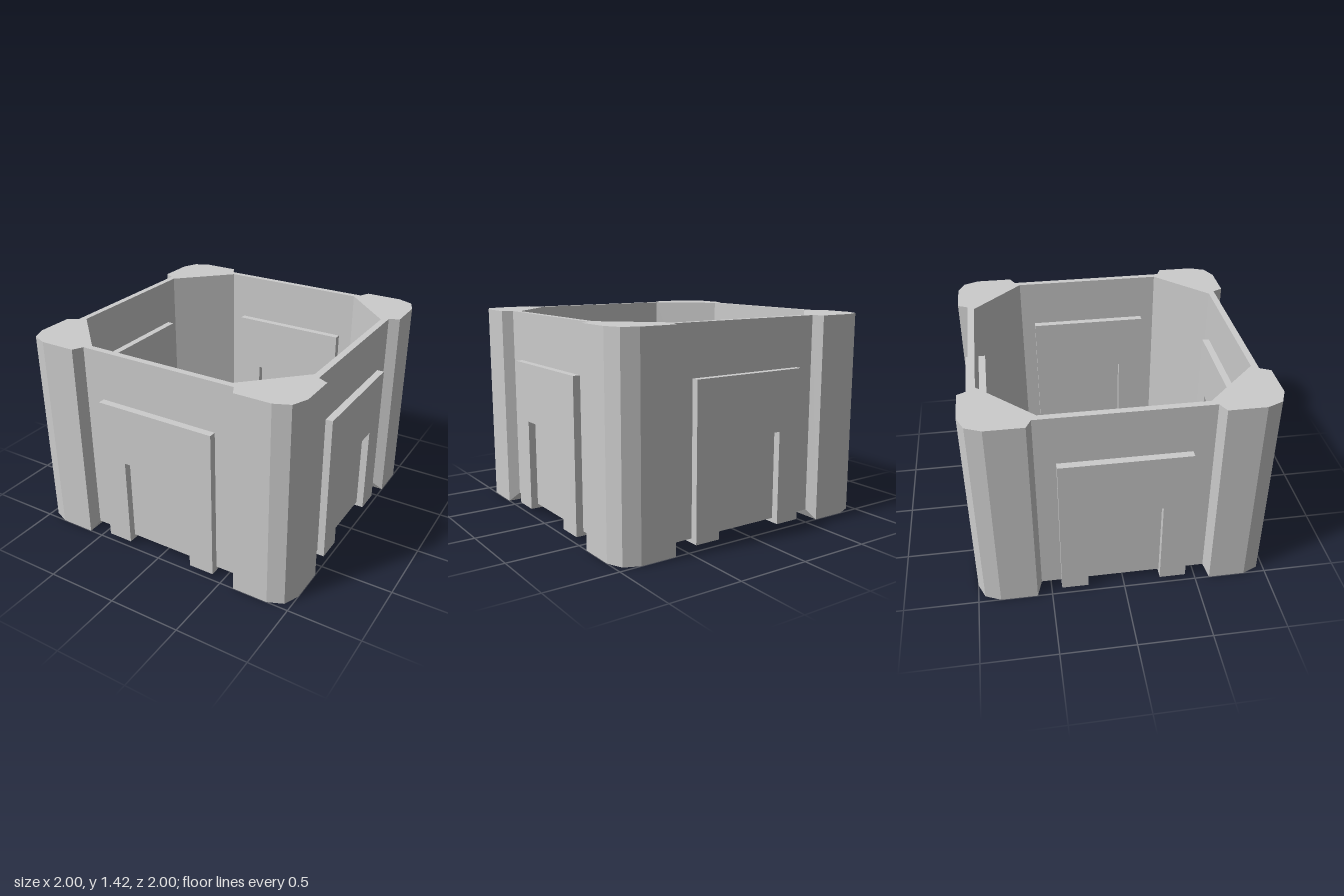
import * as THREE from 'three';
import { ConvexGeometry } from 'three/addons/geometries/ConvexGeometry.js';

const HEIGHT = 1.42, BASE = 0.06, FLOOR = 0.12;

// outer edge of one corner column, in the +x +z quarter
const CORNER = [[0.93, 0.565], [1, 0.6], [1, 0.85], [0.955, 0.955], [0.85, 1], [0.6, 1], [0.565, 0.93]];

const polygon = (points) => points.map(([x, y]) => new THREE.Vector2(x, y));

// repeat a run of points around the four quarters
function fourFold(points) {
  const all = [];
  for (let i = 0; i < 4; i++) {
    const c = [1, 0, -1, 0][i], s = [0, 1, 0, -1][i];
    for (const [x, y] of points) all.push([x * c - y * s, x * s + y * c]);
  }
  return all;
}

// extrude a plan outline upwards between two heights
function slab(shape, y0, y1) {
  const geo = new THREE.ExtrudeGeometry(shape, { depth: y1 - y0, bevelEnabled: false });
  geo.rotateX(-Math.PI / 2);
  geo.translate(0, y0, 0);
  return geo;
}

export function createModel() {
  const model = new THREE.Group();
  model.name = 'crate';
  const material = new THREE.MeshStandardMaterial({ color: 0xcccccc, flatShading: true });
  const add = (name, geo, angle = 0) => {
    const mesh = new THREE.Mesh(geo, material);
    mesh.name = name;
    mesh.rotation.y = angle;
    model.add(mesh);
  };

  // walls with corner columns around an octagonal well
  const outline = polygon(fourFold(CORNER));
  const wallShape = new THREE.Shape(outline);
  wallShape.holes.push(new THREE.Path(polygon(fourFold([[0.885, 0.53], [0.53, 0.885]]))));
  add('walls', slab(wallShape, FLOOR, HEIGHT));
  add('floor', slab(new THREE.Shape(outline), BASE, FLOOR));

  // corner foot with sloped inner sides
  const footPoints = [
    ...CORNER.map(([x, z]) => new THREE.Vector3(x, BASE, z)),
    new THREE.Vector3(0.565, BASE, 0.565),
    ...CORNER.slice(1, -1).map(([x, z]) => new THREE.Vector3(x, 0, z)),
    new THREE.Vector3(0.6, 0, 0.6),
  ];
  const foot = new ConvexGeometry(footPoints);

  // door-shaped frame running through each wall
  const frame = new THREE.ExtrudeGeometry(new THREE.Shape(polygon([
    [-0.43, 0.03], [-0.25, 0.03], [-0.25, 0.67], [0.25, 0.67],
    [0.25, 0.03], [0.43, 0.03], [0.43, 1.08], [-0.43, 1.08],
  ])), { depth: 0.145, bevelEnabled: false });
  frame.translate(0, 0, 0.835);

  const sides = ['front', 'left', 'back', 'right'];
  sides.forEach((side, i) => {
    add(side + 'Frame', frame, i * Math.PI / 2);
    add(side + 'CornerFoot', foot, i * Math.PI / 2);
  });
  return model;
}
